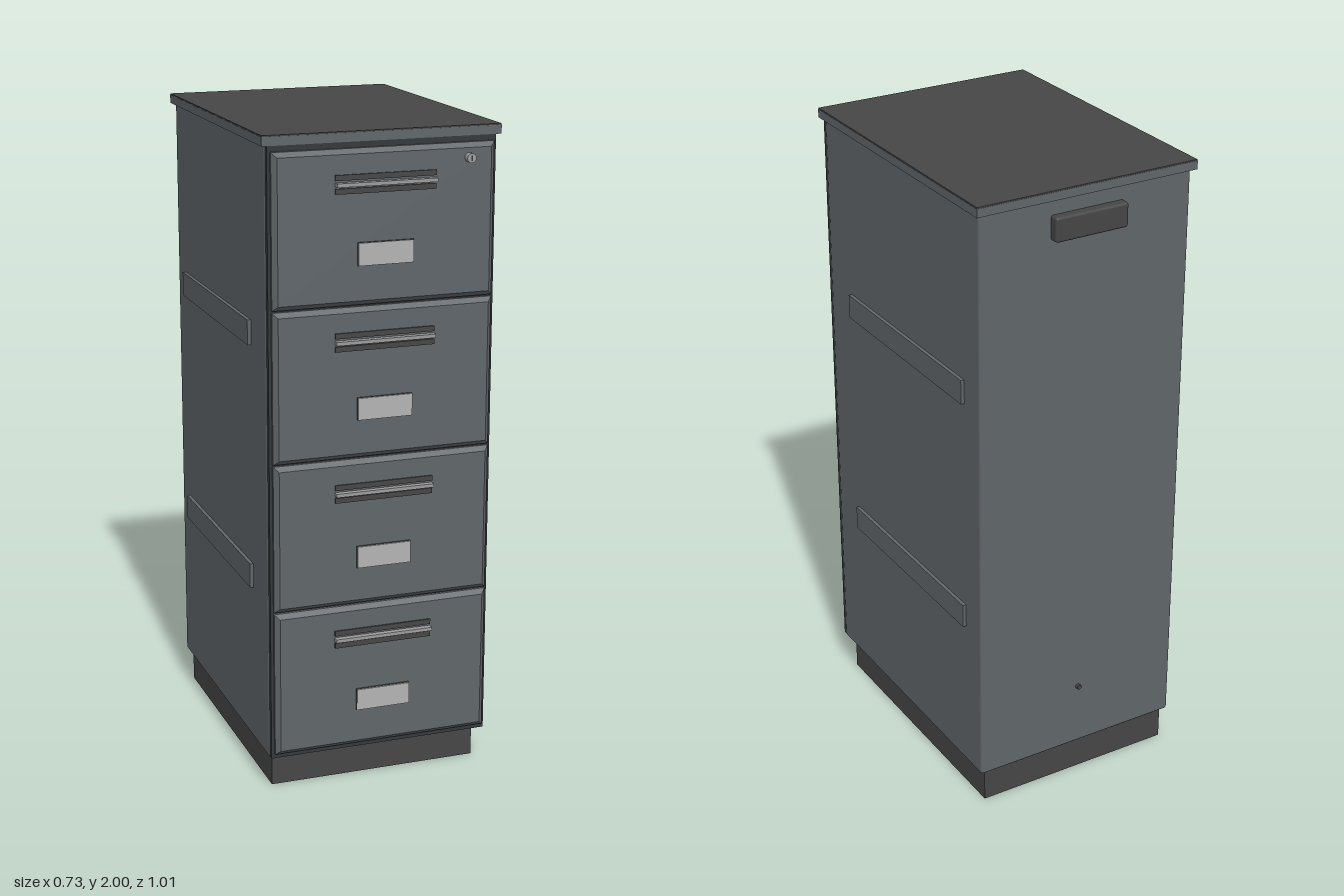
import * as THREE from 'three';
import { RoundedBoxGeometry } from 'three/addons/geometries/RoundedBoxGeometry.js';

const mat = (name, color) => {
  const m = new THREE.MeshStandardMaterial({ color });
  m.name = name;
  return m;
};

export function createModel() {
  const steel = mat('slate steel', 0x60666a);
  const dark = mat('charcoal', 0x464646);
  const seam = mat('dark frame', 0x35393b);
  const card = mat('light label', 0xb4b4b4);
  const metal = mat('satin metal', 0x9c9c9c);

  const cabinet = new THREE.Group();
  cabinet.name = 'filingCabinet';

  const add = (parent, name, geometry, material, x = 0, y = 0, z = 0) => {
    const mesh = new THREE.Mesh(geometry, material);
    mesh.name = name;
    mesh.position.set(x, y, z);
    parent.add(mesh);
    return mesh;
  };
  // Box given by its low and high corners, optionally rounded
  const box = (parent, name, material, [x0, y0, z0], [x1, y1, z1], r = 0) => {
    const s = [x1 - x0, y1 - y0, z1 - z0];
    const g = r ? new RoundedBoxGeometry(...s, 2, r) : new THREE.BoxGeometry(...s);
    return add(parent, name, g, material, (x0 + x1) / 2, (y0 + y1) / 2, (z0 + z1) / 2);
  };
  const rect = (P, w, h) => {
    const p = new P();
    p.moveTo(-w, -h);
    p.lineTo(w, -h);
    p.lineTo(w, h);
    p.lineTo(-w, h);
    p.closePath();
    return p;
  };

  // Hollow plinth, open underneath
  const ring = rect(THREE.Shape, 0.33, 0.435);
  ring.holes.push(rect(THREE.Path, 0.315, 0.42));
  const plinth = new THREE.ExtrudeGeometry(ring, { depth: 0.11, bevelEnabled: false });
  plinth.rotateX(-Math.PI / 2);
  add(cabinet, 'plinth', plinth, dark, 0, 0, -0.025);
  box(cabinet, 'plinthCeiling', seam, [-0.315, 0.095, -0.445], [0.315, 0.11, 0.395]);

  // Levelling feet inside the plinth corners
  for (const x of [-0.28, 0.28]) {
    for (const z of [-0.41, 0.36]) {
      const foot = new THREE.Group();
      foot.name = 'levellingFoot';
      foot.position.set(x, 0, z);
      cabinet.add(foot);
      add(foot, 'footStem', new THREE.CylinderGeometry(0.009, 0.009, 0.09, 12), metal, 0, 0.055, 0);
      add(foot, 'footPad', new THREE.CylinderGeometry(0.018, 0.022, 0.015, 16), dark, 0, 0.0085, 0);
    }
  }

  // Carcass, front frame and top
  box(cabinet, 'body', steel, [-0.35, 0.108, -0.475], [0.35, 1.975, 0.45], 0.01);
  box(cabinet, 'frontFrame', seam, [-0.347, 0.112, 0.43], [0.347, 1.97, 0.462]);
  box(cabinet, 'topSlab', steel, [-0.363, 1.97, -0.487], [0.363, 1.996, 0.465]);
  box(cabinet, 'topMat', dark, [-0.362, 1.996, -0.486], [0.362, 2, 0.464]);

  // Bevelled drawer front with pull, label and optional lock
  const bevel = 0.014;
  const frontGeometry = new THREE.ExtrudeGeometry(rect(THREE.Shape, 0.324, 0.212), {
    depth: 0.015, bevelThickness: bevel, bevelSize: bevel, bevelSegments: 1,
  });
  for (let i = 0; i < 4; i++) {
    const drawer = new THREE.Group();
    drawer.name = 'drawer' + (i + 1);
    drawer.position.set(0, 0.354 + i * 0.4575, 0);
    cabinet.add(drawer);
    add(drawer, 'drawerFront', frontGeometry, steel, 0, 0, 0.456);
    box(drawer, 'handleUpperLip', dark, [-0.153, 0.139, 0.48], [0.153, 0.155, 0.49]);
    box(drawer, 'handleLowerLip', dark, [-0.153, 0.1, 0.48], [0.153, 0.116, 0.49]);
    box(drawer, 'handleBar', metal, [-0.153, 0.122, 0.48], [0.153, 0.133, 0.503]);
    box(drawer, 'labelHolder', dark, [-0.085, -0.109, 0.48], [0.085, -0.041, 0.491]);
    box(drawer, 'labelCard', card, [-0.084, -0.108, 0.491], [0.084, -0.042, 0.495]);
    if (i === 3) {
      const lock = new THREE.CylinderGeometry(0.014, 0.014, 0.025, 20);
      lock.rotateX(Math.PI / 2);
      add(drawer, 'lock', lock, metal, 0.255, 0.184, 0.4925);
      box(drawer, 'keySlot', seam, [0.253, 0.176, 0.5045], [0.257, 0.192, 0.506]);
    }
  }

  // Raised side strips
  for (const side of [-1, 1]) {
    for (const y of [0.648, 1.403]) {
      const strip = new THREE.BoxGeometry(0.02, 0.076, 0.695);
      add(cabinet, 'sideStrip', strip, steel, side * 0.351, y, -0.04);
    }
  }

  // Rear grip and small rear stud
  box(cabinet, 'rearGrip', dark, [-0.12, 1.85, -0.505], [0.12, 1.925, -0.47], 0.008);
  const stud = new THREE.CylinderGeometry(0.008, 0.008, 0.02, 12);
  stud.rotateX(Math.PI / 2);
  add(cabinet, 'rearStud', stud, dark, 0, 0.32, -0.476);

  return cabinet;
}
